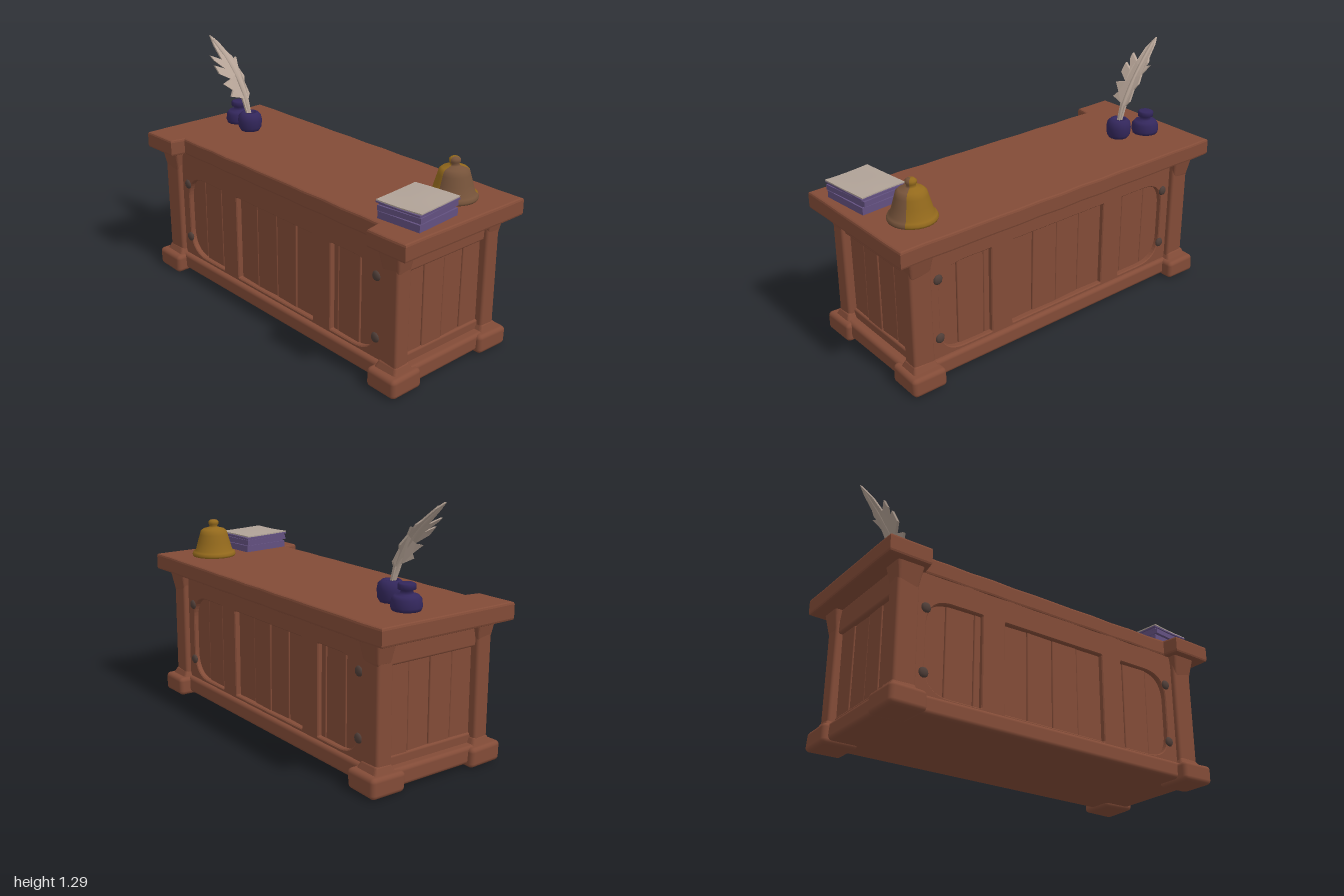
import * as THREE from 'three';
import { RoundedBoxGeometry } from 'three/addons/geometries/RoundedBoxGeometry.js';

const mat = (name, color) => {
  const m = new THREE.MeshStandardMaterial({ color });
  m.name = name;
  return m;
};

export function createModel() {
  const group = new THREE.Group();
  const wood = mat('wood', 0x824b37);
  const iron = mat('iron', 0x4f3e38);
  const gold = mat('gold', 0x93691c);
  const bronze = mat('bronze', 0x76533a);
  const ink = mat('ink purple', 0x33275c);
  const cover = mat('book cover', 0x62507f);
  const paper = mat('paper', 0xb0a297);
  const feather = mat('feather', 0xb5a396);

  const add = (name, geo, material, parent = group) => {
    const mesh = new THREE.Mesh(geo, material);
    mesh.name = name;
    parent.add(mesh);
    return mesh;
  };

  // Gentle hand-carved unevenness, driven by position so seams stay closed
  const wobble = (geo, amp) => {
    const p = geo.attributes.position;
    for (let i = 0; i < p.count; i++) {
      const x = p.getX(i), y = p.getY(i), z = p.getZ(i);
      p.setXYZ(i, x + amp * Math.sin(17 * z + 11 * y), y + amp * Math.sin(13 * x + 19 * z) * 0.6,
        z + amp * Math.sin(15 * x + 23 * y));
    }
    return geo;
  };

  // Rounded box given by its minimum and maximum corners
  const block = (name, x0, x1, y0, y1, z0, z1, r = 0.012, material = wood) => {
    const geo = new RoundedBoxGeometry(x1 - x0, y1 - y0, z1 - z0, 2, r);
    geo.translate((x0 + x1) / 2, (y0 + y1) / 2, (z0 + z1) / 2);
    return add(name, wobble(geo, 0.003), material);
  };

  // Counter top: notched along the clerk's side, with uneven edges
  const corners = [[-0.39, -0.99], [0.39, -0.99], [0.39, 0.99], [-0.39, 0.99],
    [-0.39, 0.775], [-0.31, 0.765], [-0.31, -0.765], [-0.39, -0.785]];
  const outline = [];
  corners.forEach(([x, z], i) => {
    const [nx, nz] = corners[(i + 1) % corners.length];
    const n = Math.max(1, Math.round(Math.hypot(nx - x, nz - z) / 0.13));
    for (let k = 0; k < n; k++) {
      const px = x + (nx - x) * k / n, pz = z + (nz - z) * k / n;
      outline.push(new THREE.Vector2(px + 0.003 * Math.sin(21 * pz), -(pz + 0.004 * Math.sin(25 * px))));
    }
  });
  const topGeo = new THREE.ExtrudeGeometry(new THREE.Shape(outline), {
    depth: 0.066, bevelSize: 0.01, bevelThickness: 0.012, bevelSegments: 2, curveSegments: 4 });
  topGeo.rotateX(-Math.PI / 2).translate(0, 0.722 - 0.012 + 0.012 - 0.001, 0);
  add('counterTop', topGeo, wood);

  // Core and plinth
  block('core', -0.275, 0.275, 0.05, 0.72, -0.86, 0.86);
  block('plinth', -0.34, 0.34, 0.015, 0.105, -0.93, 0.93, 0.02);

  // Corner posts with flared capitals and heavy feet
  const flare = (name, cx, cz, y0, y1, w0, w1, d0, d1) => {
    const geo = new RoundedBoxGeometry(1, 1, 1, 2, 0.12);
    const p = geo.attributes.position;
    for (let i = 0; i < p.count; i++) {
      const t = p.getY(i) + 0.5;
      p.setXYZ(i, cx + p.getX(i) * (w0 + (w1 - w0) * t), y0 + (y1 - y0) * t, cz + p.getZ(i) * (d0 + (d1 - d0) * t));
    }
    geo.computeVertexNormals();
    add(name, geo, wood);
  };
  for (const sx of [-1, 1]) {
    for (const sz of [-1, 1]) {
      const span = (s, a, b) => (s > 0 ? [a, b] : [-b, -a]);
      block('cornerPost', ...span(sx, 0.255, 0.343), 0.06, 0.72, ...span(sz, 0.80, 0.915), 0.014);
      block('cornerFoot', ...span(sx, 0.205, 0.398), 0, 0.1, ...span(sz, 0.77, 0.957), 0.022);
      flare('postCapital', sx * 0.302, sz * 0.86, 0.59, 0.735, 0.075, 0.13, 0.10, 0.15);
      flare('postCollar', sx * 0.3, sz * 0.86, 0.07, 0.135, 0.15, 0.085, 0.165, 0.11);
    }
  }

  // Long-side frames: a wide middle opening and two with rounded outer corners
  const opening = (z0, z1, y0, y1, r, side) => {
    const h = new THREE.Path();
    const a = side < 0 ? r : 0.012, b = side > 0 ? r : 0.012;
    h.moveTo(z0 + a, y0).lineTo(z1 - b, y0).quadraticCurveTo(z1, y0, z1, y0 + b);
    h.lineTo(z1, y1 - b).quadraticCurveTo(z1, y1, z1 - b, y1);
    h.lineTo(z0 + a, y1).quadraticCurveTo(z0, y1, z0, y1 - a);
    h.lineTo(z0, y0 + a).quadraticCurveTo(z0, y0, z0 + a, y0);
    return h;
  };
  const frame = new THREE.Shape();
  frame.moveTo(-0.82, 0.08).lineTo(0.82, 0.08).lineTo(0.82, 0.715).lineTo(-0.82, 0.715).closePath();
  frame.holes.push(opening(-0.31, 0.31, 0.115, 0.595, 0.012, 0),
    opening(-0.75, -0.43, 0.115, 0.595, 0.15, -1), opening(0.43, 0.75, 0.115, 0.595, 0.15, 1));
  for (const s of [-1, 1]) {
    const geo = new THREE.ExtrudeGeometry(frame, { depth: 0.035, bevelSize: 0.005, bevelThickness: 0.005, bevelSegments: 1 });
    geo.rotateY(s * Math.PI / 2).translate(s * 0.275, 0, 0);
    add('sideFrame', geo, wood);

    // Vertical boards behind the openings
    for (let i = 0; i < 10; i++) {
      const z = -0.78 + i * 0.156, out = 0.287 + (i % 3) * 0.002;
      block('sideBoard', s > 0 ? 0.26 : -out, s > 0 ? out : -0.26, 0.09, 0.62, z + 0.001, z + 0.155, 0.006);
    }

    // Iron studs
    for (const z of [-0.75, 0.75]) {
      for (const y of [0.215, 0.535]) {
        const stud = add('stud', new THREE.SphereGeometry(0.026, 8, 6), iron);
        stud.scale.x = 0.5;
        stud.position.set(s * 0.316, y, z);
      }
    }

    // End panel with rails and boards
    const zs = (a, b) => (s > 0 ? [a, b] : [-b, -a]);
    block('endTopRail', -0.27, 0.27, 0.585, 0.72, ...zs(0.84, 0.897));
    block('endBottomRail', -0.27, 0.27, 0.08, 0.152, ...zs(0.84, 0.882));
    for (let i = 0; i < 4; i++) {
      const x = -0.264 + i * 0.132;
      block('endBoard', x + 0.001, x + 0.131, 0.09, 0.61, ...zs(0.83, 0.871 + (i % 2) * 0.003), 0.006);
    }
  }

  const lathe = (name, pts, material, x, z, seg = 20, start = 0, len = Math.PI * 2) => {
    const geo = new THREE.LatheGeometry(pts.map(([r, y]) => new THREE.Vector2(r, y)), seg, start, len);
    add(name, geo, material).position.set(x, 0.798, z);
  };

  // Service bell, tarnished on one flank
  const bell = [[0, 0], [0.118, 0], [0.122, 0.012], [0.116, 0.026], [0.103, 0.034], [0.09, 0.08], [0.078, 0.122],
    [0.073, 0.14], [0.06, 0.152], [0.026, 0.162], [0.02, 0.17], [0.028, 0.18], [0.028, 0.194], [0.018, 0.203], [0, 0.204]];
  const a0 = -1.6, a1 = 0.7;
  lathe('bellTarnished', bell, bronze, 0.16, 0.77, 10, a0, a1 - a0);
  lathe('bell', bell, gold, 0.16, 0.77, 16, a1, Math.PI * 2 - (a1 - a0));

  // Ink pots: one open for the quill, one stoppered
  lathe('openInkPot', [[0, 0], [0.052, 0], [0.064, 0.02], [0.067, 0.06], [0.062, 0.088], [0.045, 0.104],
    [0.028, 0.104], [0.022, 0.085], [0, 0.085]], ink, 0.055, -0.655, 14);
  lathe('closedInkPot', [[0, 0], [0.068, 0], [0.074, 0.018], [0.07, 0.055], [0.058, 0.07], [0.03, 0.074],
    [0.028, 0.092], [0.042, 0.097], [0.042, 0.12], [0.034, 0.125], [0, 0.125]], ink, 0.1, -0.815, 14);

  // Quill: a notched vane bent backwards along a curve
  const quill = new THREE.Group();
  quill.name = 'quill';
  group.add(quill);
  const lean = (y) => -0.66 - 0.2 * (y - 0.88) - 1.27 * (y - 0.88) ** 2;
  const vane = [[0.04, 0.885], [0.066, 0.885], [0.069, 0.97], [0.087, 0.995], [0.08, 1.057], [0.094, 1.084],
    [0.08, 1.13], [0.098, 1.177], [0.074, 1.168], [0.076, 1.185], [0.06, 1.205], [0.04, 1.26], [0.015, 1.292],
    [0, 1.24], [0, 1.178], [-0.057, 1.205], [-0.05, 1.18], [-0.008, 1.135], [-0.063, 1.158], [-0.057, 1.115],
    [0.004, 1.08], [-0.057, 1.064], [-0.012, 1.026], [-0.036, 0.998], [0.03, 0.98]];
  const vaneGeo = new THREE.ExtrudeGeometry(new THREE.Shape(vane.map((p) => new THREE.Vector2(...p))),
    { depth: 0.014, bevelEnabled: false });
  const vp = vaneGeo.attributes.position;
  for (let i = 0; i < vp.count; i++) vp.setZ(i, vp.getZ(i) - 0.007 + lean(vp.getY(i)));
  vaneGeo.computeVertexNormals();
  add('quillVane', vaneGeo, feather, quill);
  const spine = [[0.055, 0.86], [0.052, 0.96], [0.048, 1.06], [0.038, 1.17], [0.02, 1.27]];
  const spineCurve = new THREE.CatmullRomCurve3(spine.map(([x, y]) => new THREE.Vector3(x, y, lean(y))));
  add('quillShaft', new THREE.TubeGeometry(spineCurve, 14, 0.012, 6), feather, quill);

  // Stack of ledgers with loose sheets on top
  const stack = new THREE.Group();
  stack.name = 'ledgerStack';
  stack.position.set(-0.145, 0.8, 0.83);
  group.add(stack);
  const layer = (name, y, w, h, d, turn, material, curl = 0) => {
    const geo = new THREE.BoxGeometry(w, h, d, 6, 1, 6);
    const p = geo.attributes.position;
    for (let i = 0; i < p.count; i++) {
      p.setY(i, p.getY(i) + curl * Math.sin(p.getX(i) * 12 + 1) * Math.cos(p.getZ(i) * 14));
    }
    geo.computeVertexNormals();
    const mesh = add(name, geo, material, stack);
    mesh.position.y = y;
    mesh.rotation.y = turn;
  };
  layer('ledger', 0.022, 0.275, 0.036, 0.24, 0.09, cover);
  layer('ledgerPages', 0.043, 0.255, 0.012, 0.225, 0.1, cover);
  layer('ledger', 0.06, 0.285, 0.026, 0.24, 0.13, cover);
  layer('ledgerPages', 0.077, 0.27, 0.01, 0.235, 0.1, cover);
  layer('ledger', 0.085, 0.29, 0.007, 0.25, 0.08, cover, 0.003);
  layer('looseSheet', 0.094, 0.285, 0.006, 0.252, 0.11, paper, 0.004);
  return group;
}
